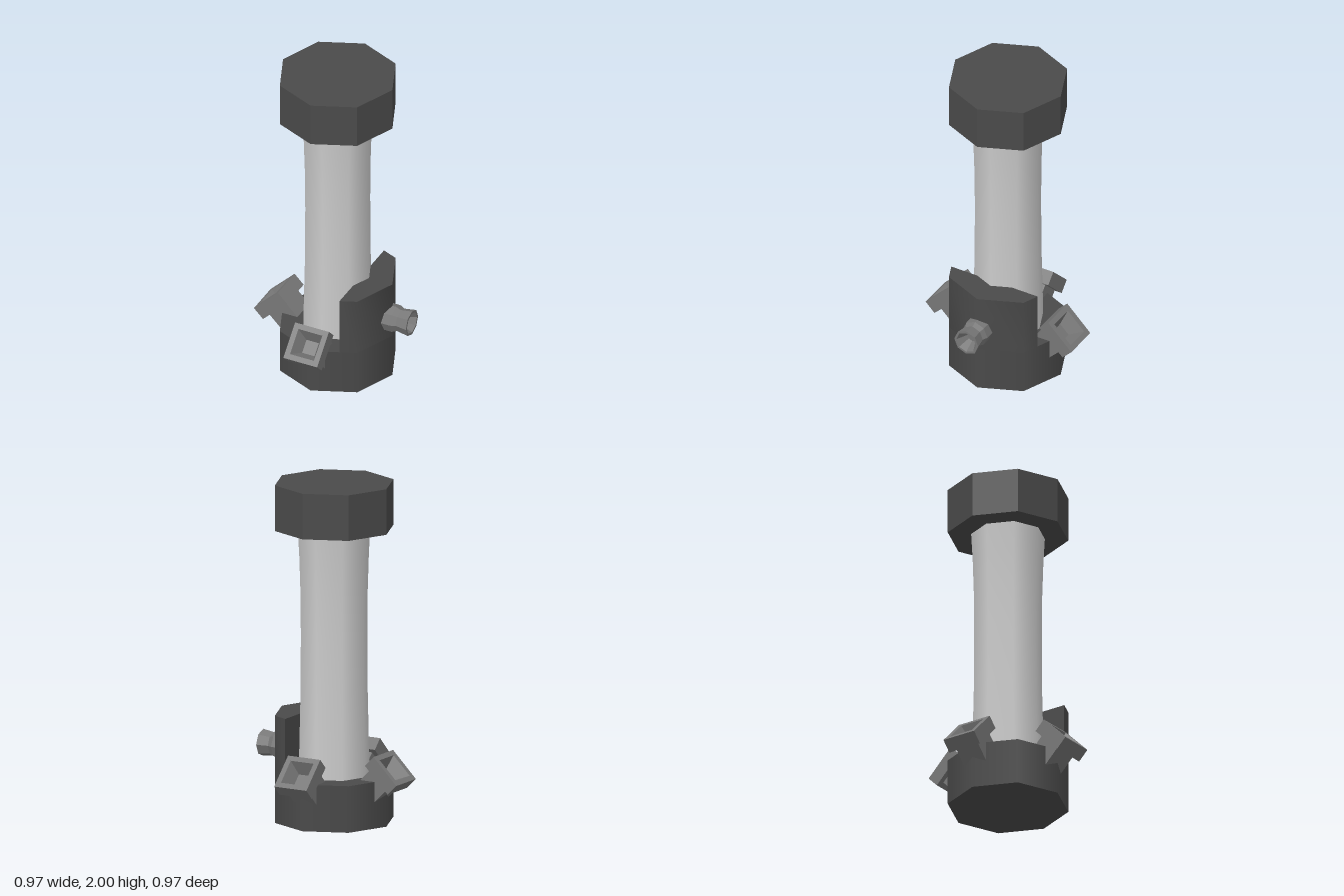
import * as THREE from 'three';
import { toCreasedNormals } from 'three/addons/utils/BufferGeometryUtils.js';

const R = 0.353;
const v2 = (list) => list.map(([r, y]) => new THREE.Vector2(r, y));

export function createModel() {
  const model = new THREE.Group();
  const body = new THREE.Group();
  body.name = 'body';
  body.position.x = 0.004;
  model.add(body);

  const light = new THREE.MeshStandardMaterial({ color: 0xcccccc });
  const dark = new THREE.MeshStandardMaterial({ color: 0x4a4a4a });
  const darkFlat = new THREE.MeshStandardMaterial({ color: 0x4a4a4a, flatShading: true });
  const mid = new THREE.MeshStandardMaterial({ color: 0x777777, flatShading: true });

  const add = (name, geometry, material, x = 0, y = 0, z = 0) => {
    const mesh = new THREE.Mesh(geometry, material);
    mesh.name = name;
    mesh.position.set(x, y, z);
    body.add(mesh);
    return mesh;
  };

  // Octagonal cap
  add('topCap', new THREE.CylinderGeometry(R, R, 0.27, 8), darkFlat, 0, 1.865);

  // Slightly waisted column
  const columnProfile = v2([[0.212, 0.2], [0.208, 0.4], [0.2, 0.75], [0.198, 1.1],
    [0.2, 1.35], [0.207, 1.57], [0.217, 1.75]]);
  add('column', new THREE.LatheGeometry(columnProfile, 8), light);

  // Octagonal foot
  add('base', new THREE.CylinderGeometry(R, R, 0.276, 8), dark, 0, 0.138);

  // Raised side of the foot, cut straight at x = cut
  const k = R * Math.SQRT1_2, cut = 0.155;
  const cutZ = R - cut * (R - k) / k;
  const outline = v2([[cut, -cutZ], [k, -k], [R, 0], [k, k], [cut, cutZ]]);
  const wall = new THREE.ExtrudeGeometry(new THREE.Shape(outline), { depth: 0.36, bevelEnabled: false });
  wall.rotateX(-Math.PI / 2);
  add('raisedSide', toCreasedNormals(wall, Math.PI / 3), dark, 0, 0.275);

  // Square tilted nozzles with tapered pits, on three sides
  const s = Math.SQRT2;
  const squareProfile = v2([[0, -0.22], [0.0765 * s, -0.22], [0.0765 * s, -0.083], [0.109 * s, -0.083],
    [0.109 * s, 0], [0.077 * s, 0], [0.04 * s, -0.08], [0, -0.08]]);
  const square = new THREE.LatheGeometry(squareProfile, 4, Math.PI / 4);
  square.rotateX(Math.PI / 4);
  square.translate(0, 0.355, 0.41);
  [['frontNozzle', 0], ['backNozzle', Math.PI], ['rightNozzle', -Math.PI / 2]].forEach(([name, turn]) => {
    add(name, square, mid).rotation.y = turn;
  });

  // Round horizontal nozzle with a flared mouth
  const roundProfile = v2([[0, 0.25], [0.082, 0.25], [0.082, 0.377], [0.069, 0.407],
    [0.08, 0.479], [0.066, 0.479], [0.032, 0.41], [0, 0.41]]);
  const round = new THREE.LatheGeometry(roundProfile, 8);
  round.rotateZ(-Math.PI / 2);
  add('leftNozzle', round, mid, 0, 0.403);

  return model;
}
